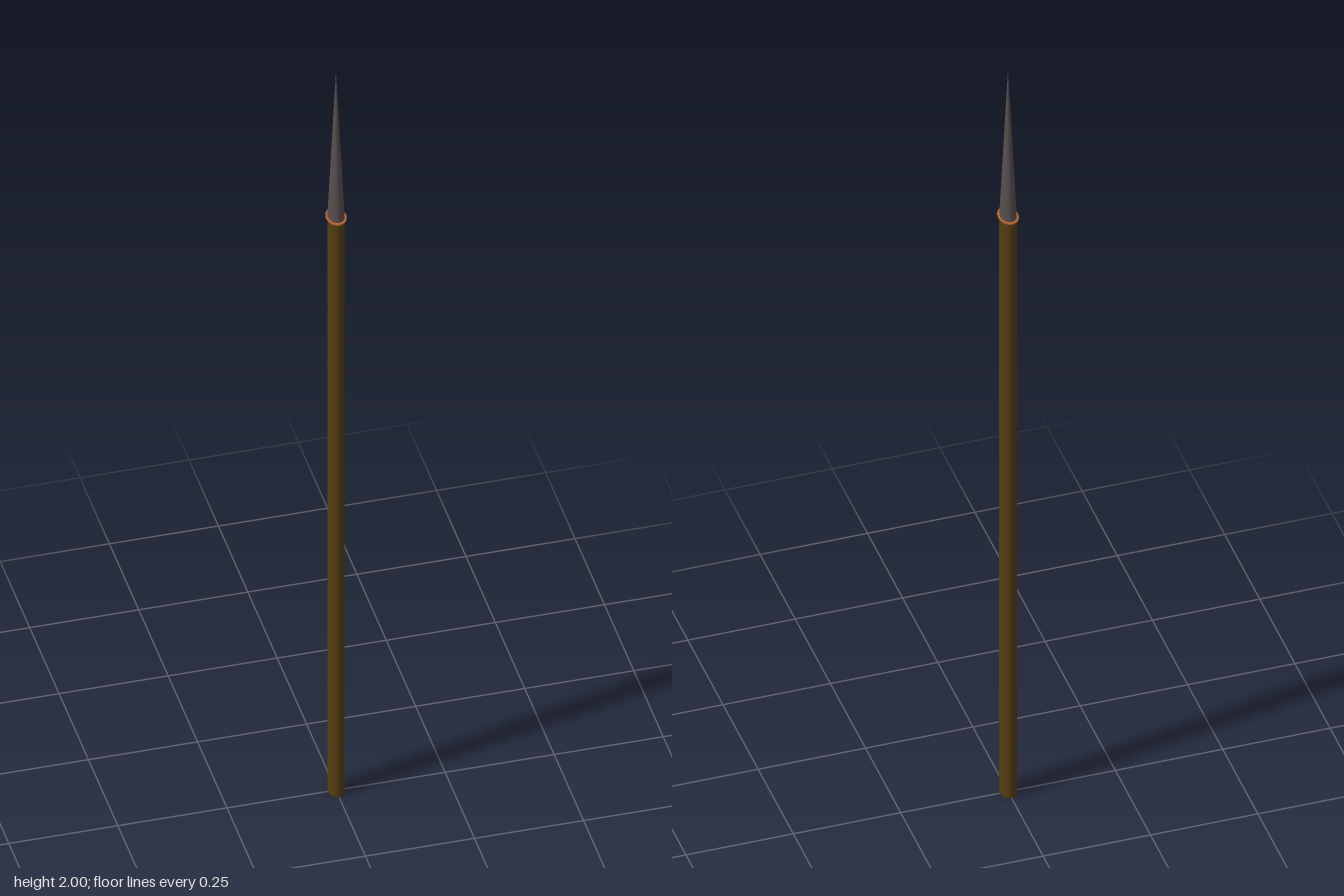
import * as THREE from 'three';

const SIDES = 32;
// Every part shares the same oval cross-section
const RX = 0.0185, RZ = 0.0265;

function material(name, color, side = THREE.FrontSide) {
  const m = new THREE.MeshStandardMaterial({ color, side });
  m.name = name;
  return m;
}

export function createModel() {
  const group = new THREE.Group();
  group.name = 'spear';

  const wood = material('dark wood', 0x553c12);
  const iron = material('dark iron', 0x574d4d);
  const copper = material('copper', 0xb5622c, THREE.DoubleSide);

  function add(name, geometry, mat, y) {
    const mesh = new THREE.Mesh(geometry, mat);
    mesh.name = name;
    mesh.position.y = y;
    group.add(mesh);
  }

  // Oval wooden shaft, closed at the bottom
  const shaftTop = 1.595;
  const shaft = new THREE.CylinderGeometry(1, 1, shaftTop, SIDES);
  shaft.scale(RX, 1, RZ);
  add('shaft', shaft, wood, shaftTop / 2);

  // Paper-thin oval collar between shaft and spearhead
  const collar = new THREE.CylinderGeometry(1, 1, 0.003, SIDES);
  collar.scale(0.0228, 1, 0.0332);
  add('collar', collar, copper, shaftTop);

  // Long tapering spearhead
  const headHeight = 2 - shaftTop;
  const head = new THREE.ConeGeometry(1, headHeight, SIDES);
  head.scale(RX, 1, RZ);
  add('spearhead', head, iron, shaftTop + headHeight / 2);

  return group;
}
